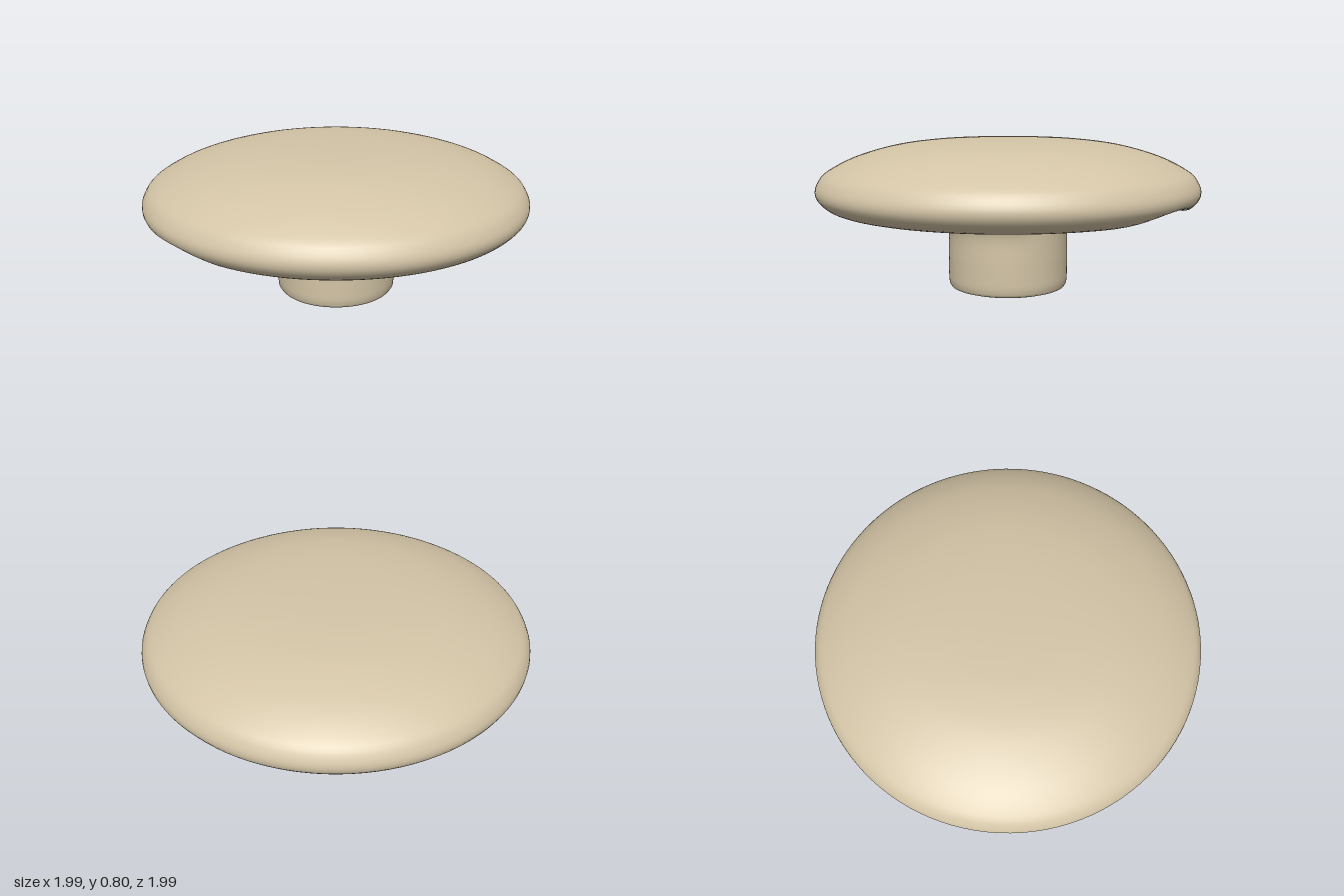
import * as THREE from 'three';
import { mergeVertices } from 'three/addons/utils/BufferGeometryUtils.js';

const { smoothstep } = THREE.MathUtils;
const vectors = (list) => list.map(([x, y]) => new THREE.Vector2(x, y));

// How far the underside is hollowed at (x, z): one finger recess at the front, one at the back
function recessDepth(x, z) {
  const d = Math.hypot(x, Math.abs(z) - 0.59);
  return 0.13 * (1 - smoothstep(d, 0.23, 0.42));
}

export function createModel() {
  const beige = new THREE.MeshStandardMaterial({ color: 0xd3c4a6 });
  beige.name = 'beige';
  const group = new THREE.Group();
  group.name = 'knob';

  // Profile from the foot of the stem, through the flare, round the rim and up to the crown
  const foot = vectors([[0.29, 0], [0.308, 0.006], [0.317, 0.02], [0.32, 0.05]]);
  const curve = new THREE.SplineCurve(vectors([
    [0.32, 0.05], [0.32, 0.17], [0.32, 0.3], [0.34, 0.36], [0.4, 0.405], [0.52, 0.418],
    [0.7, 0.424], [0.85, 0.432], [0.93, 0.45], [0.98, 0.49], [0.997, 0.53], [0.985, 0.575],
    [0.94, 0.628], [0.8, 0.7], [0.6, 0.758], [0.4, 0.786], [0.2, 0.797], [0, 0.8],
  ]));
  const profile = [...foot, ...curve.getSpacedPoints(110).slice(1)];
  profile[profile.length - 1].x = 0;

  // Turned body, with the recesses pushed up into its underside
  let body = new THREE.LatheGeometry(profile, 112);
  const pos = body.attributes.position;
  for (let i = 0; i < pos.count; i++) {
    const y = pos.getY(i);
    const underside = smoothstep(y, 0.2, 0.36) * (1 - smoothstep(y, 0.46, 0.57));
    pos.setY(i, y + underside * recessDepth(pos.getX(i), pos.getZ(i)));
  }
  body.deleteAttribute('uv');
  body.deleteAttribute('normal');
  body = mergeVertices(body, 1e-5);
  body.computeVertexNormals();
  const bodyMesh = new THREE.Mesh(body, beige);
  bodyMesh.name = 'capAndStem';
  group.add(bodyMesh);

  // Flat end of the stem
  const base = new THREE.Mesh(new THREE.CircleGeometry(0.29, 112).rotateX(Math.PI / 2), beige);
  base.name = 'stemBase';
  group.add(base);

  return group;
}
